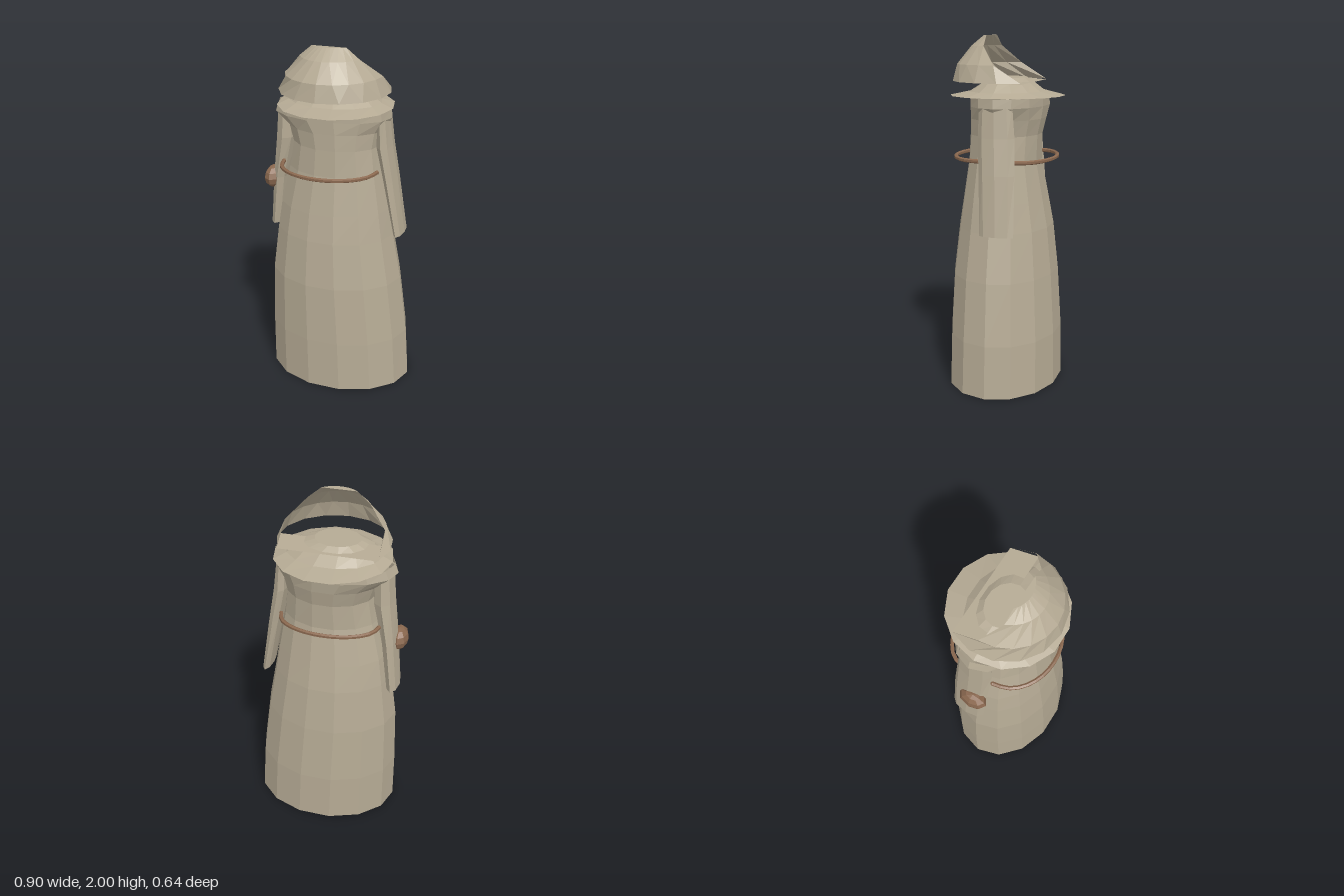
import * as THREE from 'three';

const cloth = new THREE.MeshStandardMaterial({ color: 0xb5aa94, flatShading: true, side: THREE.DoubleSide });
const leather = new THREE.MeshStandardMaterial({ color: 0x8a684f, flatShading: true });

// Skin a surface over rows of points; rows may be closed rings or open arcs
function skin(rows, capTop = false) {
  const n = rows[0].length, pos = [], index = [];
  rows.forEach((row) => row.forEach((p) => pos.push(...p)));
  for (let i = 0; i < rows.length - 1; i++) {
    for (let j = 0; j < n - 1; j++) {
      const a = i * n + j, b = a + 1, c = a + n, d = c + 1;
      index.push(a, c, b, b, c, d);
    }
  }
  if (capTop) {
    const s = (rows.length - 1) * n;
    for (let j = 1; j < n - 1; j++) index.push(s, s + j + 1, s + j);
  }
  const g = new THREE.BufferGeometry();
  g.setAttribute('position', new THREE.Float32BufferAttribute(pos, 3));
  g.setIndex(index);
  g.computeVertexNormals();
  return g;
}

// Elliptical row between two angles, given its x and z extents
function arc(y, x0, x1, z0, z1, sides, from = 0, to = Math.PI * 2) {
  const row = [];
  for (let j = 0; j <= sides; j++) {
    const t = from + ((to - from) * j) / sides;
    row.push([
      (x0 + x1) / 2 + ((x1 - x0) / 2) * Math.cos(t), y,
      (z0 + z1) / 2 + ((z1 - z0) / 2) * Math.sin(t),
    ]);
  }
  return row;
}

export function createModel() {
  const model = new THREE.Group();
  model.name = 'hoodedRobe';
  const add = (name, geometry, material = cloth) => {
    const mesh = new THREE.Mesh(geometry, material);
    mesh.name = name;
    model.add(mesh);
    return mesh;
  };

  // Long robe, open at the hem: y, x min, x max, z min, z max
  add('robe', skin([
    [0, -0.41, 0.45, -0.325, 0.325],
    [0.3, -0.41, 0.43, -0.32, 0.32],
    [0.65, -0.40, 0.385, -0.295, 0.305],
    [0.92, -0.365, 0.335, -0.265, 0.275],
    [1.08, -0.34, 0.31, -0.235, 0.25],
    [1.3, -0.285, 0.27, -0.195, 0.215],
    [1.45, -0.26, 0.25, -0.2, 0.207],
    [1.54, -0.29, 0.265, -0.22, 0.205],
    [1.61, -0.38, 0.31, -0.23, 0.205],
    [1.66, -0.36, 0.305, -0.23, 0.205],
  ].map((r) => arc(...r, 14))));

  // Thin collar rising to the neck mound
  add('collar', skin([
    [1.665, -0.345, 0.315, -0.33, 0.33],
    [1.69, -0.29, 0.25, -0.21, 0.21],
    [1.735, -0.25, 0.19, -0.145, 0.14],
    [1.765, -0.17, 0.09, -0.105, 0.115],
  ].map((r) => arc(...r, 14)), true));

  // Hood: a half shell, open at the back, its ends drawn forward toward the crown
  const hoodRows = [
    [1.745, 0.315, 0.315, -29],
    [1.84, 0.275, 0.29, 0],
    [1.94, 0.19, 0.21, 25],
    [2.0, 0.14, 0.135, 45],
  ].map(([y, rx, rz, deg]) => {
    const s = THREE.MathUtils.degToRad(deg);
    return arc(y, -0.02 - rx, -0.02 + rx, -rz, rz, 10, s, Math.PI - s);
  });
  add('hood', skin(hoodRows, true));

  // Flat flap joining the back corners of the hood
  add('hoodFlap', skin([
    [[0.255, 1.74, -0.155], [-0.295, 1.74, -0.155]],
    [[0.285, 1.75, 0], [-0.325, 1.75, 0]],
  ]));

  // Hanging sleeves, open at the cuffs
  const sleeves = {
    rightSleeve: [
      [0.9, -0.425, -0.35, -0.14, 0.06], [1.2, -0.4, -0.31, -0.135, 0.075],
      [1.45, -0.375, -0.25, -0.125, 0.085], [1.62, -0.36, -0.25, -0.11, 0.08],
    ],
    leftSleeve: [
      [0.92, 0.335, 0.39, -0.145, 0.05], [1.25, 0.27, 0.345, -0.135, 0.07],
      [1.45, 0.23, 0.315, -0.125, 0.085], [1.62, 0.23, 0.295, -0.11, 0.08],
    ],
  };
  for (const [name, rows] of Object.entries(sleeves)) {
    add(name, skin(rows.map((r) => arc(...r, 8))));
  }

  // Rope belt: one loose arc in front, one behind
  for (const [name, endZ, midZ] of [['frontBelt', 0.08, 0.3], ['backBelt', -0.12, -0.28]]) {
    const points = [];
    for (let i = 0; i <= 8; i++) {
      const t = (Math.PI * i) / 8;
      points.push(new THREE.Vector3(
        -0.025 + 0.28 * Math.cos(t), 1.315, endZ + (midZ - endZ) * Math.sin(t)));
    }
    const path = new THREE.CatmullRomCurve3(points);
    add(name, new THREE.TubeGeometry(path, 16, 0.012, 6), leather);
    // Rounded rope ends
    for (const p of [points[0], points[8]]) {
      add(name + 'End', new THREE.SphereGeometry(0.0125, 6, 4), leather).position.copy(p);
    }
  }

  // Small pouch on the right sleeve
  const pouch = add('pouch', new THREE.SphereGeometry(1, 8, 6), leather);
  pouch.scale.set(0.052, 0.066, 0.085);
  pouch.position.set(-0.4, 1.187, 0.01);

  return model;
}
